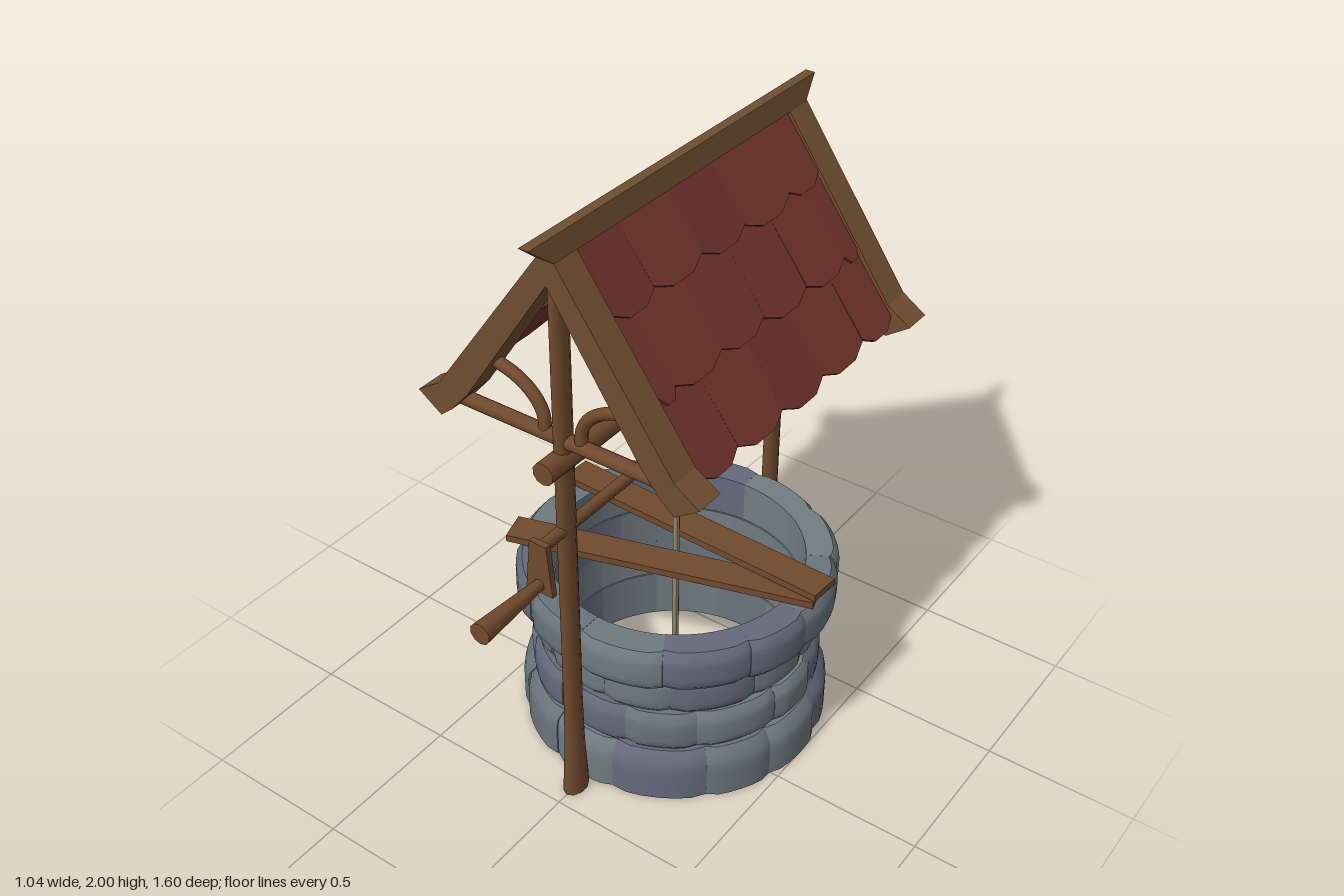
import * as THREE from 'three';
import { toCreasedNormals } from 'three/addons/utils/BufferGeometryUtils.js';

const mat = (color) => new THREE.MeshStandardMaterial({ color });
const V = (x, y, z) => new THREE.Vector3(x, y, z);
const WOOD = mat(0x704a2d), BOARD = mat(0x6e4e30), ROPE = mat(0x92866a);
const TILES = [0x6e322a, 0x6b312a, 0x70332a].map(mat);
const STONES = [0x6e7a80, 0x69747c, 0x656a7b, 0x727d80].map(mat);
const MID = -0.14; // z of the well's axis
const POSTS = [0.411, -0.686];

let seed = 7;
const rand = () => (seed = (seed * 16807) % 2147483647) / 2147483647;

function add(parent, name, geometry, material) {
  const mesh = new THREE.Mesh(geometry, material);
  mesh.name = name;
  parent.add(mesh);
  return mesh;
}

// Round bar between two points
function rod(parent, name, a, b, ra, rb = ra, material = WOOD, sides = 10) {
  const dir = b.clone().sub(a);
  const geo = new THREE.CylinderGeometry(rb, ra, dir.length(), sides);
  const mesh = add(parent, name, toCreasedNormals(geo, 0.9), material);
  mesh.position.copy(a).add(b).multiplyScalar(0.5);
  mesh.quaternion.setFromUnitVectors(V(0, 1, 0), dir.normalize());
  return mesh;
}

// Curved stone: a box bent round the axis with its outer edges rounded off
function stone(a0, a1, y0, y1, rIn, rOut, isBase) {
  const geo = new THREE.BoxGeometry(1, 1, 1, 6, 6, 1);
  const p = geo.attributes.position;
  for (let i = 0; i < p.count; i++) {
    const u = p.getX(i) * 2, v = p.getY(i) * 2, out = p.getZ(i) > 0;
    const a = THREE.MathUtils.lerp(a0, a1, (u + 1) / 2);
    // Base stones stay square at the ground and lean in at the top
    const edge = isBase ? (v > 0 ? 0.035 * v ** 4 : 0) : 0.022 * v ** 6;
    const r = out ? rOut - 0.012 * u ** 6 - edge : rIn;
    const y = THREE.MathUtils.lerp(y0, y1, (v + 1) / 2);
    p.setXYZ(i, Math.sin(a) * r, y, Math.cos(a) * r);
  }
  return toCreasedNormals(geo, 0.65);
}

function buildWall() {
  const wall = new THREE.Group();
  wall.name = 'stoneWall';
  wall.position.z = MID;
  const rows = [ // bottom, top, inner radius, outer radius, start angle
    [0, 0.178, 0.4, 0.512, -16],
    [0.172, 0.322, 0.405, 0.48, 15],
    [0.318, 0.467, 0.405, 0.468, 5],
    [0.463, 0.613, 0.41, 0.525, -1],
  ];
  rows.forEach(([y0, y1, rIn, rOut, start], k) => {
    const n = 12;
    const cuts = Array.from({ length: n }, (_, i) => (start + 30 * i + (i ? (rand() - 0.5) * 6 : 0)) * Math.PI / 180);
    cuts.push(cuts[0] + Math.PI * 2);
    for (let i = 0; i < n; i++) {
      const geo = stone(cuts[i], cuts[i + 1], y0, y1 - rand() * 0.003, rIn, rOut - rand() * 0.012, k === 0);
      add(wall, `stoneRow${k + 1}`, geo, STONES[Math.floor(rand() * 4)]);
    }
  });
  return wall;
}

function buildFrame() {
  const frame = new THREE.Group();
  frame.name = 'frame';
  const profile = [[0, 0], [0.05, 0], [0.048, 0.05], [0.039, 0.2], [0.036, 0.35], [0.034, 1.86], [0, 1.86]];
  for (const z of POSTS) {
    const geo = new THREE.LatheGeometry(profile.map(([x, y]) => new THREE.Vector2(x, y)), 10);
    const post = add(frame, 'post', toCreasedNormals(geo, 0.9), WOOD);
    post.scale.x = 0.68;
    post.position.z = z;
    rod(frame, 'tieBeam', V(-0.37, 1.356, z), V(0.37, 1.356, z), 0.023);
    // Curved braces from the tie beam to the rafters
    for (const s of [-1, 1]) {
      const path = new THREE.CatmullRomCurve3([
        V(0.062 * s, 1.36, z), V(0.068 * s, 1.42, z), V(0.1 * s, 1.468, z), V(0.155 * s, 1.505, z), V(0.24 * s, 1.53, z)]);
      add(frame, 'brace', new THREE.TubeGeometry(path, 14, 0.019, 8), WOOD);
    }
  }
  rod(frame, 'longBeam', V(0, 1.293, 0.505), V(0, 1.293, -0.777), 0.036);
  return frame;
}

function buildRoof() {
  const roof = new THREE.Group();
  roof.name = 'roof';
  // Gable rafters with kicked-out feet
  const half = [[0, 1.975], [0.405, 1.41], [0.485, 1.358], [0.405, 1.302], [0.365, 1.335], [0.3, 1.41], [0, 1.86]];
  for (const z of [0.364, -0.742]) {
    for (const s of [-1, 1]) {
      const shape = new THREE.Shape(half.map(([x, y]) => new THREE.Vector2(x * s, y)));
      const geo = new THREE.ExtrudeGeometry(shape, { depth: 0.095, bevelEnabled: false });
      add(roof, 'rafter', geo, BOARD).position.z = z;
    }
  }
  // Ridge beam, narrower but longer at the top
  const ridge = new THREE.BoxGeometry(1, 0.065, 1).toNonIndexed();
  const p = ridge.attributes.position;
  for (let i = 0; i < p.count; i++) {
    const top = p.getY(i) > 0;
    p.setX(i, Math.sign(p.getX(i)) * (top ? 0.016 : 0.032));
    p.setZ(i, p.getZ(i) > 0 ? (top ? 0.54 : 0.46) : (top ? -0.8 : -0.73));
  }
  ridge.computeVertexNormals();
  add(roof, 'ridgeBeam', ridge, BOARD).position.y = 1.9675;

  // Overlapping shingle rows on both slopes
  const even = [-0.505, -0.325, -0.1, 0.11, 0.335, 0.505];
  const odd = [-0.505, -0.43, -0.21, 0.005, 0.22, 0.43, 0.505];
  const rows = [[0.46, 0.735, even], [0.21, 0.495, odd], [0, 0.25, even]];
  for (const side of [0, 1]) {
    const slope = new THREE.Group();
    slope.name = side ? 'rightSlope' : 'leftSlope';
    slope.position.set(0, 1.935, -0.145);
    slope.rotation.y = side * Math.PI;
    roof.add(slope);
    for (const [s0, s1, cuts] of rows) {
      for (let i = 0; i < cuts.length - 1; i++) {
        const a = cuts[i], b = cuts[i + 1], c = (b - a) * 0.3, len = s1 - s0 - rand() * 0.01;
        const shape = new THREE.Shape([[a, 0], [a, 0.03 - len], [a + c, -len], [b - c, -len], [b, 0.03 - len], [b, 0]]
          .map(([x, y]) => new THREE.Vector2(x, y)));
        const geo = new THREE.ExtrudeGeometry(shape, { depth: 0.012, bevelEnabled: false });
        geo.rotateY(Math.PI / 2).rotateZ(0.035 + rand() * 0.015).translate(0, -s0, 0).rotateZ(0.611);
        add(slope, 'shingle', geo, TILES[Math.floor(rand() * 3)]);
      }
    }
  }
  return roof;
}

function buildWindlass() {
  const windlass = new THREE.Group();
  windlass.name = 'windlass';
  rod(windlass, 'axle', V(0, 1.052, 0.54), V(0, 1.052, -0.77), 0.02);
  rod(windlass, 'axleCap', V(0, 1.052, -0.735), V(0, 1.052, -0.78), 0.038, 0.038, WOOD, 8);
  // Crank arm, wider at its foot
  const arm = new THREE.Shape([[-0.03, 1.075], [-0.048, 0.9], [0.048, 0.9], [0.03, 1.075]].map(([x, y]) => new THREE.Vector2(x, y)));
  add(windlass, 'crankArm', new THREE.ExtrudeGeometry(arm, { depth: 0.02, bevelEnabled: false }), WOOD).position.z = 0.522;
  rod(windlass, 'crankHandle', V(0, 0.928, 0.53), V(0, 0.928, 0.8), 0.018, 0.035);
  // Wound rope and hanging rope
  const roll = [];
  for (let i = 0; i <= 24; i++) {
    const t = i / 24;
    const r = i % 24 ? 0.036 + 0.004 * Math.cos((t - 0.5) * Math.PI * 6) - 0.012 * (2 * t - 1) ** 6 : 0.018;
    roll.push(new THREE.Vector2(r, (t - 0.5) * 0.325));
  }
  const coil = add(windlass, 'ropeRoll', new THREE.LatheGeometry(roll, 12), ROPE);
  coil.rotation.x = Math.PI / 2;
  coil.position.set(0, 1.052, -0.135);
  rod(windlass, 'rope', V(0, 1.04, -0.132), V(0, 0.06, -0.132), 0.011, 0.011, ROPE, 8);
  return windlass;
}

// Loose plank lying between two points
function plank(parent, a, b) {
  const dir = b.clone().sub(a);
  const mesh = add(parent, 'plank', new THREE.BoxGeometry(dir.length(), 0.024, 0.105), WOOD);
  mesh.position.copy(a).add(b).multiplyScalar(0.5);
  mesh.quaternion.setFromUnitVectors(V(1, 0, 0), dir.normalize());
}

export function createModel() {
  const well = new THREE.Group();
  well.name = 'well';
  well.add(buildWall(), buildFrame(), buildRoof(), buildWindlass());
  plank(well, V(-0.48, 0.627, 0.105), V(0.49, 0.627, -0.19));
  plank(well, V(-0.503, 0.634, -0.255), V(0.515, 0.66, -0.19));
  return well;
}
